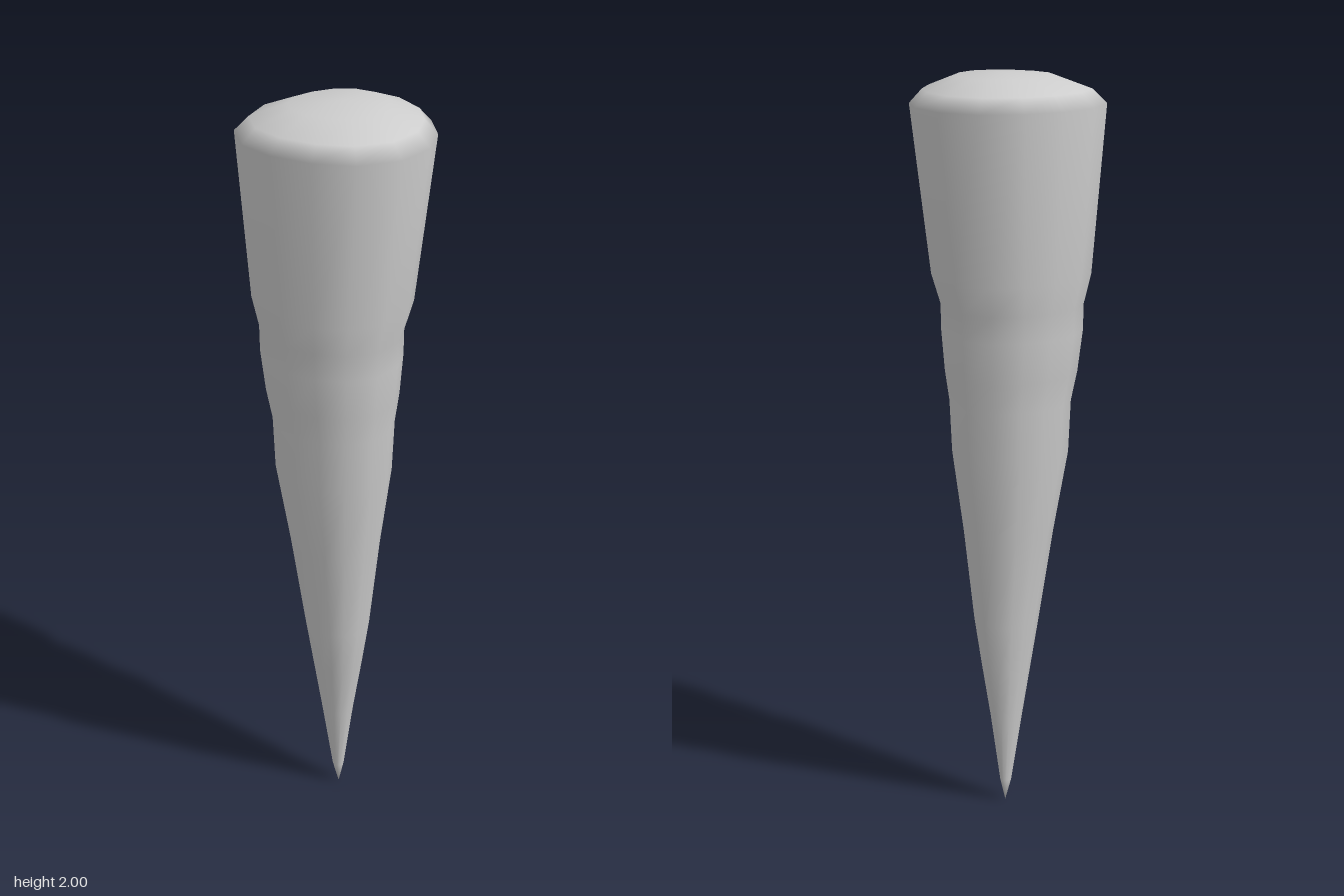
import * as THREE from 'three';

// Half outline of the widest ring, from back to front: [x, z]
const HALF = [[0.057, -0.247], [0.154, -0.188], [0.218, -0.1], [0.252, 0.007], [0.236, 0.12], [0.16, 0.207], [0.057, 0.244]];

// Rings from tip to crown: [y, scale, x offset, z offset]
const RINGS = [
  [0.06, 0.06, -0.002, 0.011],
  [0.25, 0.17, -0.002, 0.011],
  [0.4, 0.265, 0, 0.012],
  [0.53, 0.345, 0.001, 0.013],
  [0.78, 0.475, -0.003, 0.013],
  [1.0, 0.61, -0.006, 0.013],
  [1.14, 0.635, -0.006, 0.012],
  [1.22, 0.69, -0.008, 0.012],
  [1.33, 0.735, -0.01, 0.012],
  [1.4, 0.74, -0.01, 0.012],
  [1.48, 0.825, -0.008, 0.008],
  [1.92, 1, 0, 0],
  [1.957, 0.86, 0, 0],
  [1.992, 0.5, 0, 0],
];

// Smooth loft through the rings, closed by a point at both ends
function loftSpike() {
  const outline = [...HALF, ...HALF.map(([x, z]) => [-x, z]).reverse()];
  const n = outline.length;
  const positions = [];
  const index = [];
  for (const [y, s, dx, dz] of RINGS) {
    for (const [x, z] of outline) positions.push(x * s + dx, y, z * s + dz);
  }
  const tip = positions.length / 3;
  const crown = tip + 1;
  positions.push(-0.002, 0, 0.01, 0, 2, 0);
  const last = (RINGS.length - 1) * n;
  for (let i = 0; i < n; i++) {
    const j = (i + 1) % n;
    index.push(tip, i, j);
    index.push(crown, last + j, last + i);
    for (let r = 0; r < RINGS.length - 1; r++) {
      const a = r * n + i, b = r * n + j;
      index.push(a, a + n, b, b, a + n, b + n);
    }
  }
  const geometry = new THREE.BufferGeometry();
  geometry.setAttribute('position', new THREE.Float32BufferAttribute(positions, 3));
  geometry.setIndex(index);
  geometry.computeVertexNormals();
  return geometry;
}

export function createModel() {
  const group = new THREE.Group();
  group.name = 'spike';
  const stone = new THREE.MeshStandardMaterial({ color: 0xcccccc });
  stone.name = 'light grey';
  const body = new THREE.Mesh(loftSpike(), stone);
  body.name = 'spikeBody';
  group.add(body);
  return group;
}
